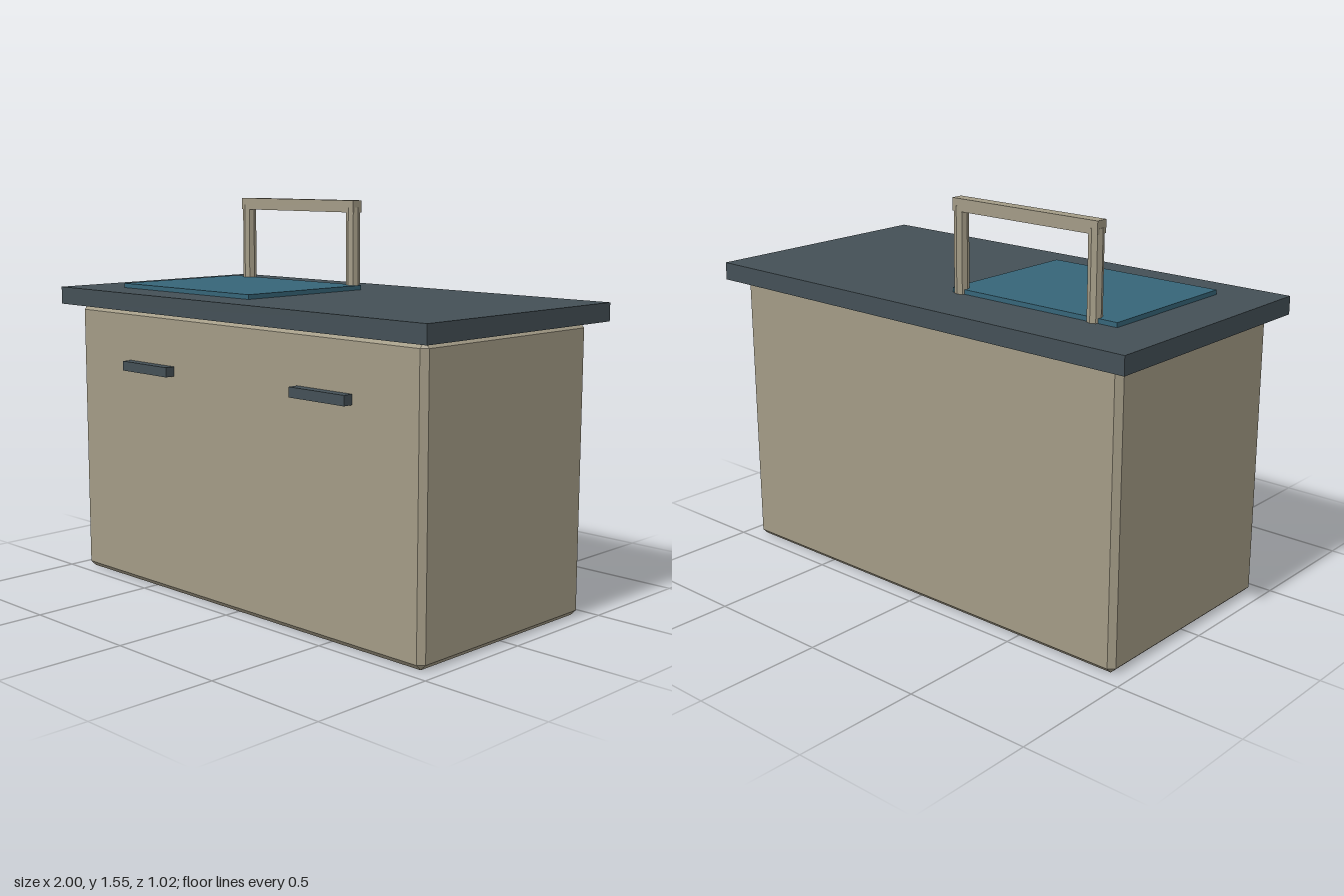
import * as THREE from 'three';
import { ConvexGeometry } from 'three/addons/geometries/ConvexGeometry.js';

const paint = (color) => new THREE.MeshStandardMaterial({ color, flatShading: true });

// Box with every edge cut by a flat bevel
function bevelledBox(w, h, d, bevel) {
  const half = [w / 2, h / 2, d / 2];
  const points = [];
  for (const sx of [-1, 1]) for (const sy of [-1, 1]) for (const sz of [-1, 1]) {
    for (let full = 0; full < 3; full++) {
      const [x, y, z] = half.map((v, i) => (i === full ? v : v - bevel));
      points.push(new THREE.Vector3(sx * x, sy * y, sz * z));
    }
  }
  return new ConvexGeometry(points);
}

export function createModel() {
  const model = new THREE.Group();
  model.name = 'sinkCabinet';
  const beige = paint(0xa39b86);
  const slate = paint(0x445056);
  const teal = paint(0x366578);

  const add = (name, geometry, material, x, y, z) => {
    const mesh = new THREE.Mesh(geometry, material);
    mesh.name = name;
    mesh.position.set(x, y, z);
    model.add(mesh);
  };

  // Cabinet body and overhanging worktop
  add('cabinet', bevelledBox(1.886, 1.12, 0.91, 0.022), beige, 0, 0.56, 0);
  add('worktop', new THREE.BoxGeometry(2, 0.07, 1.024), slate, 0, 1.155, 0);

  // Basin panel, slightly proud of the worktop
  add('basin', new THREE.BoxGeometry(0.76, 0.03, 0.614), teal, -0.403, 1.193, 0.045);

  // Tap: two eight-sided posts joined by a bar
  for (const [name, x] of [['rightTapPost', -0.678], ['leftTapPost', -0.058]]) {
    add(name, new THREE.CylinderGeometry(0.028, 0.028, 0.34, 8), beige, x, 1.35, -0.25);
  }
  add('tapBar', new THREE.BoxGeometry(0.665, 0.048, 0.048), beige, -0.368, 1.524, -0.25);

  // Front pulls
  for (const [name, x] of [['rightHandle', -0.48], ['leftHandle', 0.48]]) {
    add(name, new THREE.BoxGeometry(0.272, 0.038, 0.05), slate, x, 0.895, 0.47);
  }

  return model;
}
